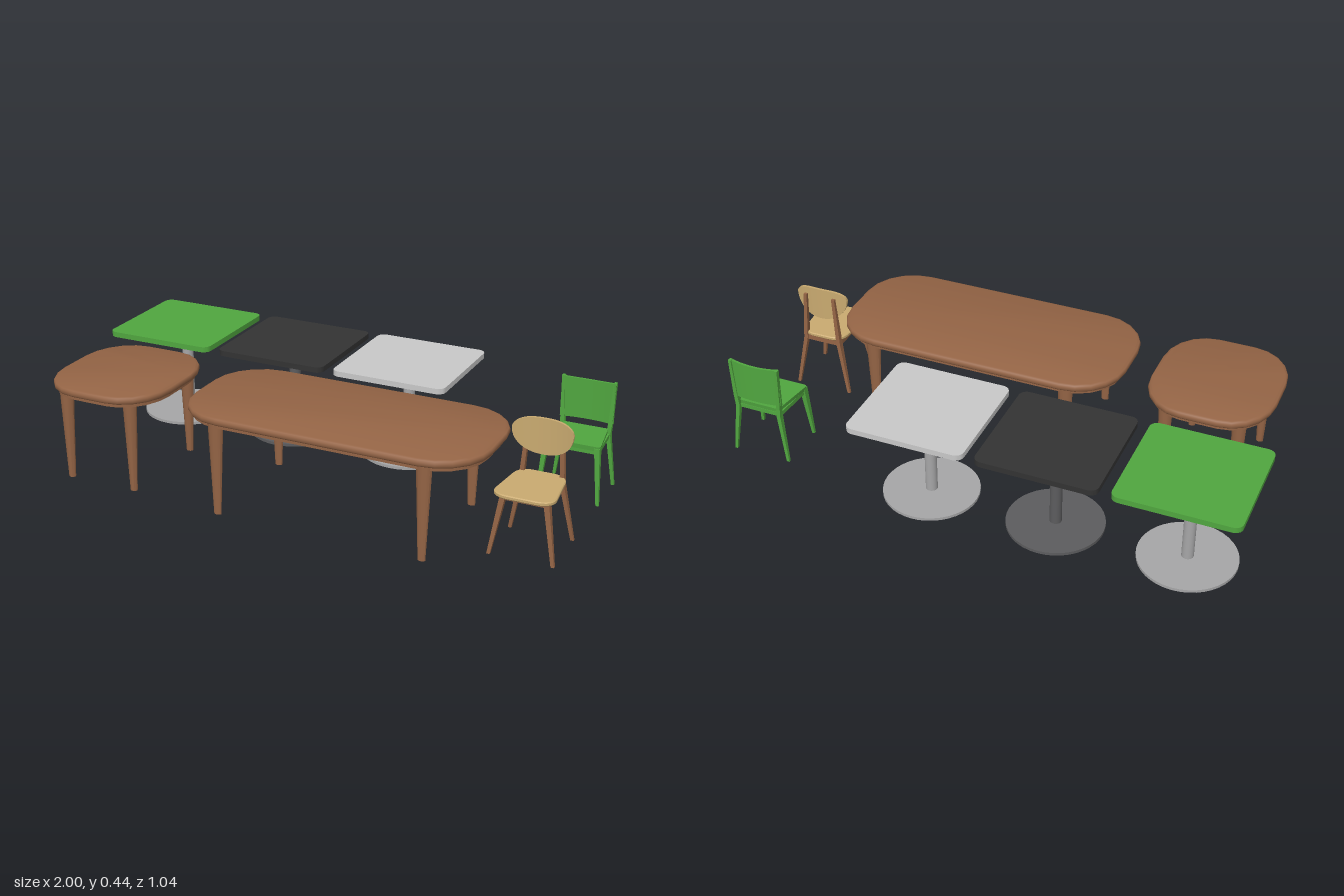
import * as THREE from 'three';
import { toCreasedNormals } from 'three/addons/utils/BufferGeometryUtils.js';

const mat = (name, color) => Object.assign(new THREE.MeshStandardMaterial({ color }), { name });

// Skin a closed solid over a series of equal-length cross-sections
function loft(rings, crease = 0.6) {
  const n = rings[0].length, pos = rings.flat(2), idx = [];
  for (let i = 0; i < rings.length - 1; i++)
    for (let j = 0; j < n; j++) {
      const k = (j + 1) % n, a = i * n + j, b = i * n + k;
      idx.push(a, b, b + n, a, b + n, a + n);
    }
  const last = (rings.length - 1) * n;
  for (let j = 1; j < n - 1; j++) idx.push(0, j + 1, j, last, last + j, last + j + 1);
  const g = new THREE.BufferGeometry();
  g.setAttribute('position', new THREE.Float32BufferAttribute(pos, 3));
  g.setIndex(idx);
  return toCreasedNormals(g, crease);
}

// Rounded rectangle at height y; back narrows the far (-z) edge
function outline(w, d, rx, rz, y, inset = 0, seg = 5, back = 1) {
  const pts = [], hw = w / 2, hd = d / 2;
  for (let q = 0; q < 4; q++) {
    const sx = q === 0 || q === 3 ? 1 : -1, sz = q < 2 ? -1 : 1;
    for (let i = 0; i <= seg; i++) {
      const a = (q + i / seg) * Math.PI / 2;
      const x = sx * (hw - rx) + Math.cos(a) * (rx - inset);
      const z = sz * (hd - rz) - Math.sin(a) * (rz - inset);
      const t = (z + hd) / d;
      pts.push([x * (back + (1 - back) * t), y, z]);
    }
  }
  return pts;
}

// Rectangular bar through points [x, y, z, width, depth]
const bar = (path) => loft(path.map(([x, y, z, w, d]) => [
  [x + w / 2, y, z + d / 2], [x + w / 2, y, z - d / 2],
  [x - w / 2, y, z - d / 2], [x - w / 2, y, z + d / 2]]));

// Curved back panel, sliced from one side to the other
function backPanel(halfWidth, bottom, top, zAt, thick) {
  const rings = [];
  for (let i = 0; i <= 20; i++) {
    const u = Math.sin((i / 20 - 0.5) * Math.PI) * 0.999;
    const x = u * halfWidth, y0 = bottom(u), y1 = top(u), z = zAt(u);
    rings.push([[x, y0, z], [x, y1, z], [x, y1, z + thick], [x, y0, z + thick]]);
  }
  return loft(rings);
}

export function createModel() {
  const model = new THREE.Group();
  const wood = mat('brown wood', 0x946445), tan = mat('tan wood', 0xc9aa70);
  const green = mat('green', 0x50a63f), black = mat('black', 0x333333);
  const pale = mat('pale grey', 0xc8c8c8), steel = mat('steel', 0xa6a6a7);
  const dark = mat('dark steel', 0x5c5c5e);

  const group = (name, x, z) => {
    const g = new THREE.Group();
    g.name = name;
    g.position.set(x, 0, z);
    model.add(g);
    return g;
  };
  const add = (g, name, geo, m) => {
    const mesh = new THREE.Mesh(geo, m);
    mesh.name = name;
    g.add(mesh);
    return mesh;
  };

  // Square pedestal tables
  for (const [name, x, top, metal] of [['greenTable', -0.777, green, steel],
    ['blackTable', -0.288, black, dark], ['greyTable', 0.198, pale, steel]]) {
    const g = group(name, x, -0.3);
    add(g, 'tableTop', loft([outline(0.445, 0.445, 0.03, 0.03, 0.35),
      outline(0.445, 0.445, 0.03, 0.03, 0.371)]), top);
    add(g, 'post', new THREE.CylinderGeometry(0.022, 0.022, 0.34, 24), metal).position.y = 0.18;
    add(g, 'base', new THREE.CylinderGeometry(0.179, 0.179, 0.011, 40), metal).position.y = 0.0055;
  }

  // Wooden tables with rounded tops, hollow aprons and tapered legs
  const woodTable = (name, x, w, rx, lx, legTop, legFoot) => {
    const g = group(name, x, 0.26), d = 0.516, rz = 0.19;
    const profile = [[0.346, 0.014], [0.349, 0.004], [0.355, 0], [0.366, 0], [0.372, 0.004], [0.375, 0.012]];
    add(g, 'tableTop', loft(profile.map(([y, inset]) => outline(w, d, rx, rz, y, inset)), 0.7), wood);
    const flat = (inset) => outline(w, d, rx, rz, 0, inset).map(([px, , pz]) => new THREE.Vector2(px, -pz));
    const shape = new THREE.Shape(flat(0.014));
    shape.holes.push(new THREE.Path(flat(0.036)));
    const apron = new THREE.ExtrudeGeometry(shape, { depth: 0.014, bevelEnabled: false });
    apron.rotateX(-Math.PI / 2).translate(0, 0.334, 0);
    add(g, 'apron', toCreasedNormals(apron, 0.6), wood);
    const section = (cx, y, cz, a, b) => Array.from({ length: 12 }, (_, i) => {
      const t = i / 12 * Math.PI * 2;
      return [cx + a * Math.cos(t), y, cz - b * Math.sin(t)];
    });
    for (const sx of [-1, 1]) for (const sz of [-1, 1])
      add(g, 'leg', loft([
        section(sx * lx, 0, sz * legFoot[2], legFoot[0], legFoot[1]),
        section(sx * lx, 0.347, sz * legTop[2], legTop[0], legTop[1])]), wood);
  };
  woodTable('smallWoodTable', -0.695, 0.466, 0.165, 0.135, [0.027, 0.023, 0.195], [0.0135, 0.011, 0.197]);
  woodTable('longWoodTable', 0.198, 1.125, 0.19, 0.388, [0.029, 0.02, 0.228], [0.014, 0.009, 0.23]);

  // Wooden chair
  const chair = group('woodChair', 0.88, 0.26);
  add(chair, 'seat', loft([[0.224, 0.004], [0.228, 0], [0.236, 0], [0.239, 0.004]].map(([y, inset]) =>
    outline(0.222, 0.235, 0.06, 0.05, y, inset, 5, 0.78))), tan);
  add(chair, 'backrest', backPanel(0.107,
    (u) => 0.4 - 0.09 * Math.sqrt(1 - Math.abs(u) ** 2.2),
    (u) => 0.4 + 0.04 * Math.sqrt(1 - Math.abs(u) ** 3),
    (u) => -0.104 + 0.02 * u * u, 0.01), tan);
  for (const s of [-1, 1]) {
    add(chair, 'frontLeg', bar([[s * 0.112, 0, 0.086, 0.012, 0.011], [s * 0.074, 0.224, 0.068, 0.02, 0.024]]), wood);
    add(chair, 'backLeg', bar([[s * 0.112, 0, -0.126, 0.012, 0.01], [s * 0.072, 0.21, -0.104, 0.016, 0.022],
      [s * 0.06, 0.41, -0.106, 0.013, 0.011]]), wood);
    add(chair, 'sideRail', bar([[s * 0.07, 0.201, -0.018, 0.014, 0.17], [s * 0.07, 0.224, -0.018, 0.014, 0.17]]), wood);
  }
  for (const z of [-0.102, 0.066])
    add(chair, 'crossRail', bar([[0, 0.201, z, 0.14, 0.014], [0, 0.224, z, 0.14, 0.014]]), wood);

  // Green chair
  const gc = group('greenChair', 0.88, -0.25);
  const seat = add(gc, 'seat', loft([[0.205, 0.002], [0.222, 0]].map(([y, inset]) =>
    outline(0.212, 0.178, 0.012, 0.012, y, inset, 3, 0.78))), green);
  seat.position.z = -0.001;
  add(gc, 'backrest', backPanel(0.1, () => 0.243, (u) => 0.395 + 0.004 * u * u,
    (u) => -0.105 + 0.011 * u * u, 0.009), green);
  for (const s of [-1, 1]) {
    add(gc, 'frontLeg', bar([[s * 0.112, 0, 0.093, 0.011, 0.01], [s * 0.094, 0.215, 0.078, 0.02, 0.024]]), green);
    add(gc, 'backLeg', bar([[s * 0.112, 0, -0.102, 0.011, 0.01], [s * 0.086, 0.2, -0.09, 0.016, 0.02],
      [s * 0.09, 0.25, -0.092, 0.015, 0.018], [s * 0.096, 0.4, -0.095, 0.011, 0.016]]), green);
    const rail = add(gc, 'sideRail', bar([[0, 0.19, 0, 0.012, 0.17], [0, 0.206, 0, 0.012, 0.17]]), green);
    rail.position.set(s * 0.089, 0, -0.006);
    rail.rotation.y = s * 0.06;
  }
  for (const [z, w] of [[-0.084, 0.17], [0.076, 0.19]])
    add(gc, 'crossRail', bar([[0, 0.19, z, w, 0.012], [0, 0.206, z, w, 0.012]]), green);

  return model;
}
